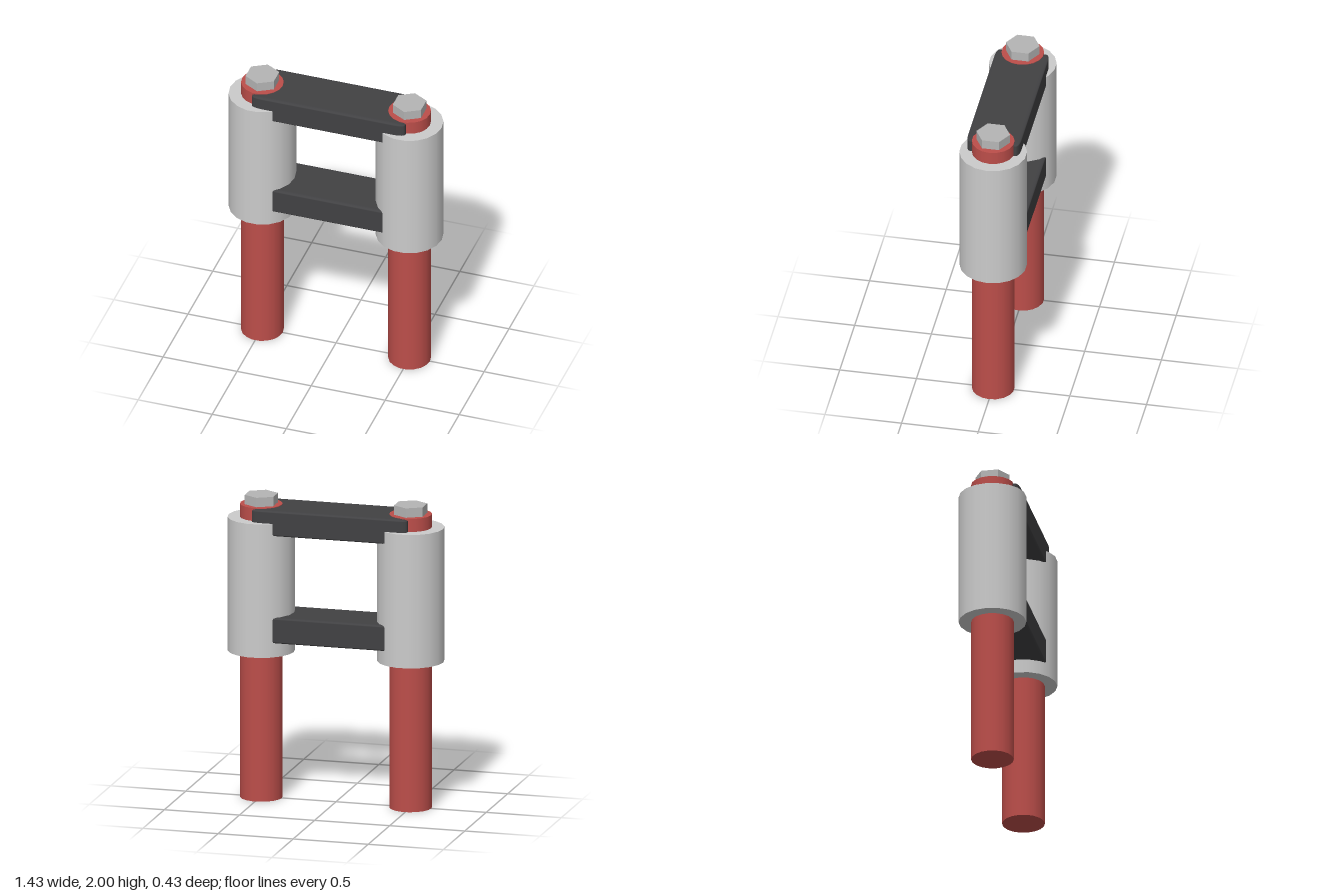
import * as THREE from 'three';
import { RoundedBoxGeometry } from 'three/addons/geometries/RoundedBoxGeometry.js';

const grey = new THREE.MeshStandardMaterial({ color: 0xcccccc });
const steel = new THREE.MeshStandardMaterial({ color: 0xb5b5b5, flatShading: true });
const red = new THREE.MeshStandardMaterial({ color: 0xbc4e4a });
const dark = new THREE.MeshStandardMaterial({ color: 0x414143 });

// Upright cylinder spanning y0 to y1
function post(name, radius, y0, y1, sides, material, turn = 0) {
  const geometry = new THREE.CylinderGeometry(radius, radius, y1 - y0, sides);
  geometry.rotateY(turn);
  const mesh = new THREE.Mesh(geometry, material);
  mesh.name = name;
  mesh.position.y = (y0 + y1) / 2;
  return mesh;
}

// Bar joining the two sleeves, with stretched rounded corners
function bar(name, y0, y1) {
  const geometry = new RoundedBoxGeometry(1, 1, 1, 3, 0.07);
  geometry.scale(1.035, y1 - y0, 0.348);
  const mesh = new THREE.Mesh(geometry, dark);
  mesh.name = name;
  mesh.position.y = (y0 + y1) / 2;
  return mesh;
}

export function createModel() {
  const model = new THREE.Group();
  model.name = 'twinRodLink';

  // Rod, sleeve and hex bolt on each side
  for (const [side, x] of [['left', 0.497], ['right', -0.497]]) {
    const column = new THREE.Group();
    column.name = side + 'Column';
    column.position.x = x;
    column.add(
      post('rod', 0.137, 0, 1.938, 18, red, Math.PI / 2),
      post('sleeve', 0.217, 0.97, 1.852, 18, grey, Math.PI / 2),
      post('hexBolt', 0.11, 1.93, 2, 6, steel),
    );
    model.add(column);
  }

  // Cross bars
  model.add(bar('upperBar', 1.768, 1.935), bar('lowerBar', 1.06, 1.23));
  return model;
}
